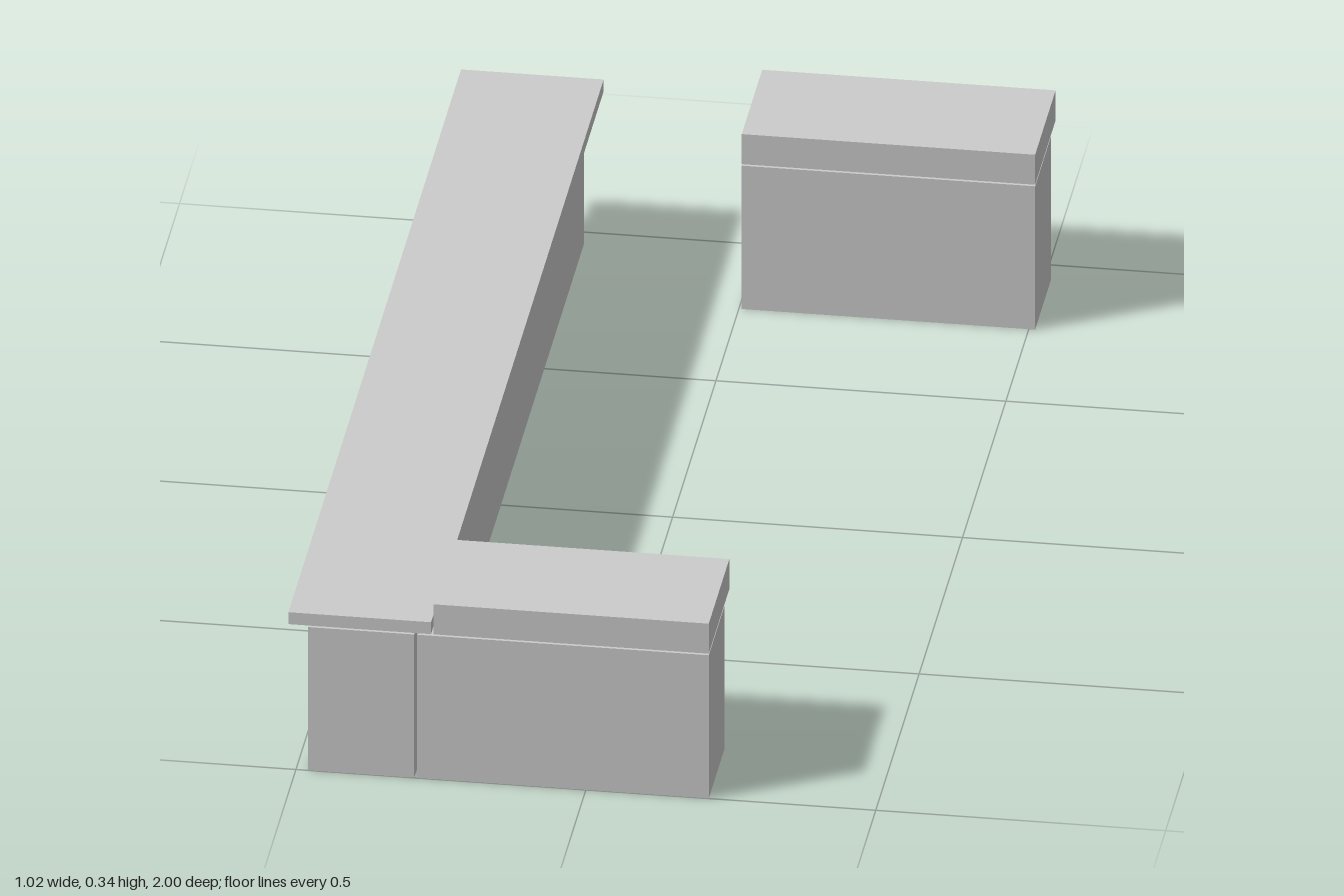
import * as THREE from 'three';

const material = new THREE.MeshStandardMaterial({ color: 0xcccccc });

// Box given by its extents along each axis
function slab(name, [x0, x1], [y0, y1], [z0, z1]) {
  const mesh = new THREE.Mesh(new THREE.BoxGeometry(x1 - x0, y1 - y0, z1 - z0), material);
  mesh.name = name;
  mesh.position.set((x0 + x1) / 2, (y0 + y1) / 2, (z0 + z1) / 2);
  return mesh;
}

export function createModel() {
  const model = new THREE.Group();
  model.name = 'counterSet';
  const base = [0, 0.277];

  // Long counter: worktop, upright panel and three supports behind it
  const counter = new THREE.Group();
  counter.name = 'longCounter';
  counter.add(slab('worktop', [-0.513, -0.267], [0.28, 0.303], [-0.99, 1]));
  counter.add(slab('frontPanel', [-0.336, -0.296], base, [-0.955, 1]));
  for (const z of [-0.955, 0, 0.955]) {
    counter.add(slab('support', [-0.479, -0.336], base, [z, z + 0.045]));
  }
  model.add(counter);

  // Cabinet joined to the front end of the counter
  const joined = new THREE.Group();
  joined.name = 'frontCabinet';
  joined.add(slab('cabinetBody', [-0.291, 0.212], base, [0.82, 1]));
  joined.add(slab('cabinetTop', [-0.263, 0.212], [0.28, 0.338], [0.763, 1]));
  model.add(joined);

  // Free-standing cabinet at the back
  const free = new THREE.Group();
  free.name = 'backCabinet';
  free.add(slab('cabinetBody', [0.005, 0.511], base, [-0.945, -0.764]));
  free.add(slab('cabinetTop', [0.005, 0.511], [0.28, 0.338], [-1, -0.764]));
  model.add(free);

  return model;
}
